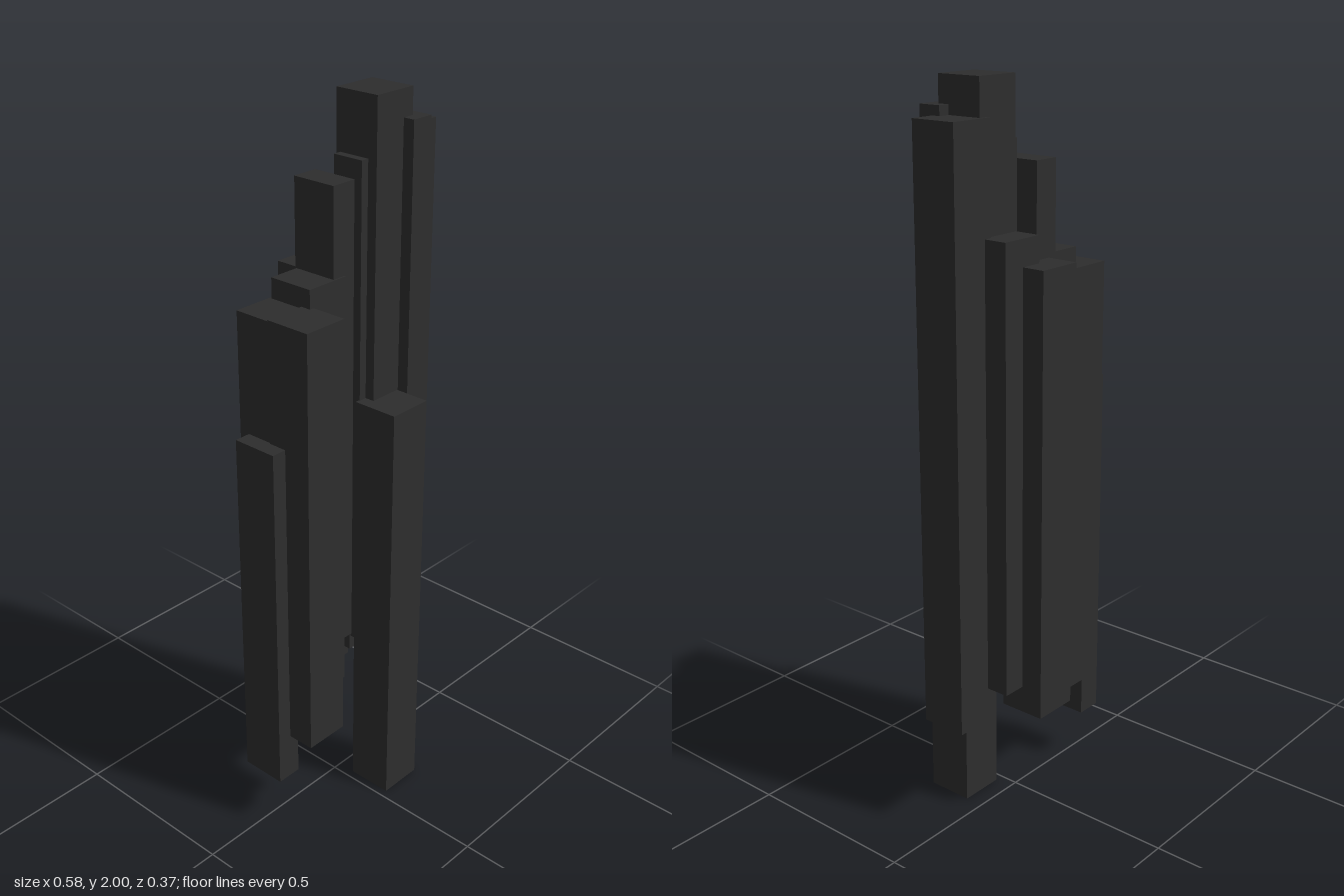
import * as THREE from 'three';

// Cluster of upright square-cut columns: [name, x0, x1, y0, y1, z0, z1]
const COLUMNS = [
  ['outerRightColumn', -0.29, -0.217, 0.16, 1.18, -0.07, 0.06],
  ['wideColumnBack', -0.244, -0.114, 0.295, 1.505, -0.10, 0.03],
  ['wideColumnFront', -0.247, -0.117, 0.295, 1.51, 0.008, 0.138],
  ['innerRightColumn', -0.13, 0, 0.35, 1.56, -0.093, 0.037],
  ['middleColumn', -0.04, 0.035, 0.48, 1.795, -0.097, 0.032],
  ['rearColumn', -0.013, 0.117, 0.33, 1.55, -0.185, -0.055],
  ['rearLeftColumn', 0.055, 0.183, 0.405, 1.62, -0.122, 0.007],
  ['coreColumn', 0.035, 0.1, 0.48, 1.845, -0.035, 0.055],
  ['frontColumn', 0.023, 0.152, 0, 1.215, 0.052, 0.182],
  ['tallestColumn', 0.058, 0.188, 0.45, 2, -0.048, 0.082],
  ['outerLeftColumn', 0.16, 0.29, 0.31, 1.905, -0.057, 0.073],
  ['slimColumn', 0.155, 0.22, 0.34, 1.93, 0.05, 0.114],
];

export function createModel() {
  const group = new THREE.Group();
  group.name = 'columnCluster';
  const charcoal = new THREE.MeshStandardMaterial({ color: 0x2d2d2d });
  charcoal.name = 'charcoal';

  for (const [name, x0, x1, y0, y1, z0, z1] of COLUMNS) {
    const column = new THREE.Mesh(new THREE.BoxGeometry(x1 - x0, y1 - y0, z1 - z0), charcoal);
    column.position.set((x0 + x1) / 2, (y0 + y1) / 2, (z0 + z1) / 2);
    column.name = name;
    group.add(column);
  }
  return group;
}
